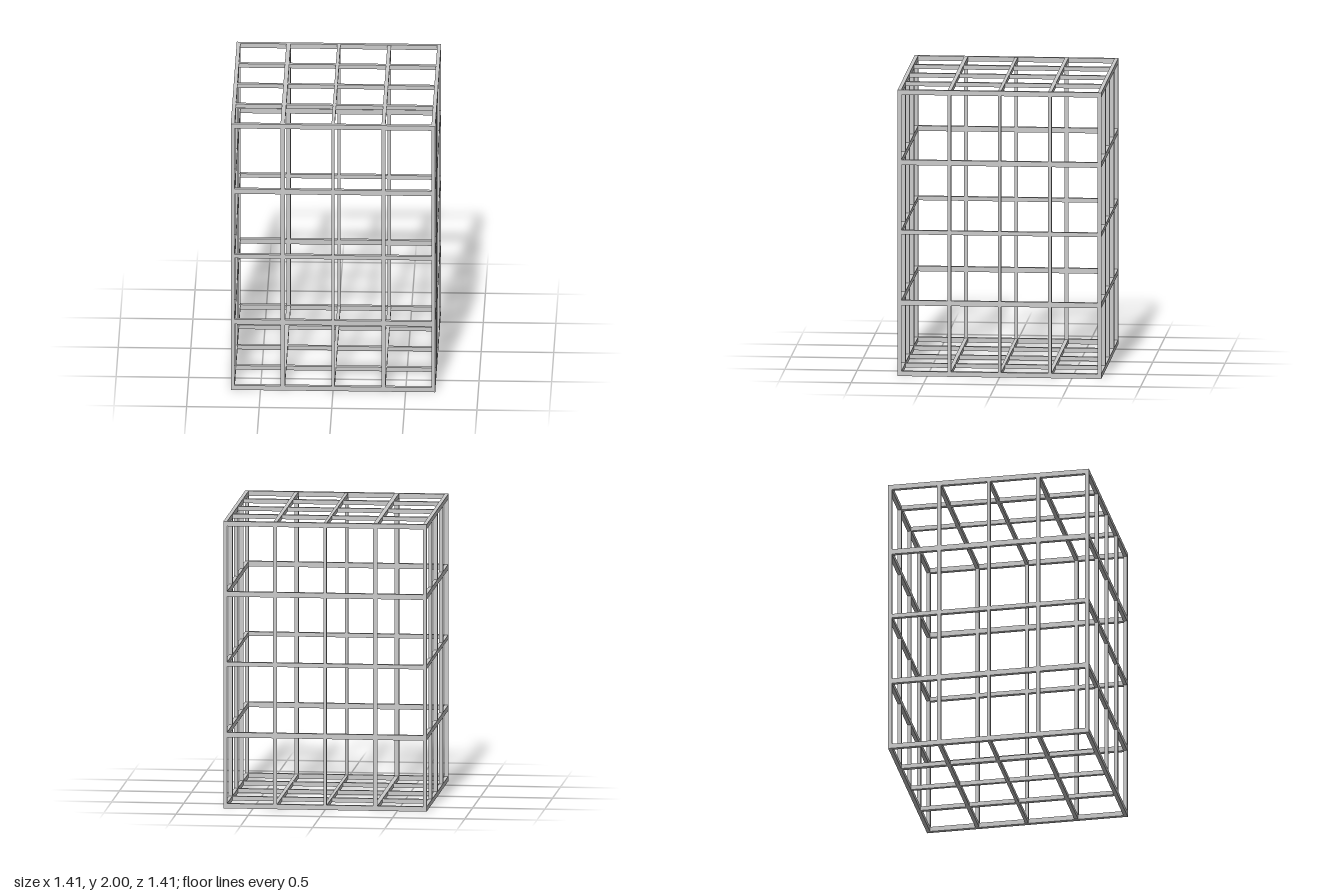
import * as THREE from 'three';

const HALF = 0.691; // centre line of the outer frame
const columns = [-HALF, -0.347, 0, 0.347, HALF];
const levels = [0.017, 0.512, 1.005, 1.493, 1.983];
const levelThickness = [0.034, 0.036, 0.029, 0.036, 0.034];
const columnThickness = [0.026, 0.03, 0.022, 0.026, 0.026];
const BAR = 0.026;

export function createModel() {
  const model = new THREE.Group();
  const material = new THREE.MeshStandardMaterial({ color: 0xcccccc });
  const groups = {};
  for (const name of ['uprights', 'hoops', 'topGrid', 'bottomGrid']) {
    groups[name] = new THREE.Group();
    groups[name].name = name;
    model.add(groups[name]);
  }

  // Square-section bar
  function bar(group, name, size, position) {
    const mesh = new THREE.Mesh(new THREE.BoxGeometry(...size), material);
    mesh.position.set(...position);
    mesh.name = name;
    group.add(mesh);
  }

  // Uprights around the perimeter only; the inside stays hollow
  const height = levels[4] - levels[0];
  columns.forEach((x, i) => columns.forEach((z, k) => {
    if (i % 4 !== 0 && k % 4 !== 0) return;
    const depth = Math.min(columnThickness[k], BAR);
    bar(groups.uprights, 'upright', [columnThickness[i], height, depth], [x, 1, z]);
  }));

  // Five square hoops, mitred flush at the corners
  const span = 2 * HALF + BAR;
  levels.forEach((y, j) => {
    for (const side of [-HALF, HALF]) {
      bar(groups.hoops, 'hoopBarAcross', [span, levelThickness[j], BAR], [0, y, side]);
      bar(groups.hoops, 'hoopBarDeep', [BAR, levelThickness[j], span - 2 * BAR], [side, y, 0]);
    }
  });

  // Crossing bars closing the top and the bottom
  for (const [group, y] of [[groups.bottomGrid, levels[0]], [groups.topGrid, levels[4]]]) {
    for (let i = 1; i < 4; i++) {
      const thickness = columnThickness[i];
      bar(group, 'gridBarAcross', [2 * HALF, 0.03, Math.min(thickness, BAR)], [0, y, columns[i]]);
      bar(group, 'gridBarDeep', [thickness, 0.03, 2 * HALF], [columns[i], y, 0]);
    }
  }

  return model;
}
